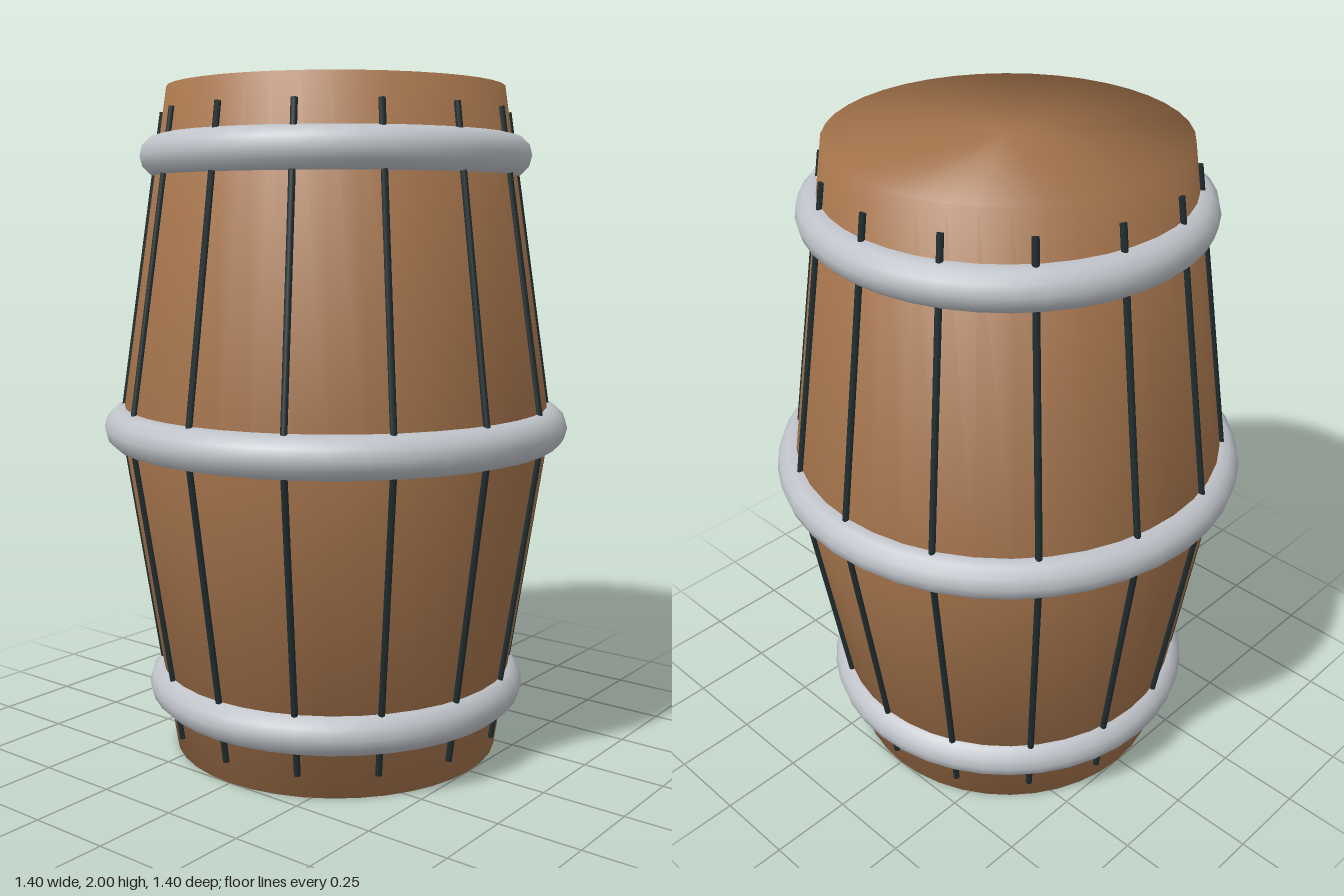
import * as THREE from 'three';

const wood = new THREE.MeshStandardMaterial({ name: 'brown wood', color: 0xa5744c });
const metal = new THREE.MeshStandardMaterial({ name: 'grey metal', color: 0xbfc3c9 });
const dark = new THREE.MeshStandardMaterial({ name: 'dark seam', color: 0x202d30 });

const END_R = 0.5, MID_R = 0.65, HEIGHT = 2;
const radiusAt = (y) => MID_R - (MID_R - END_R) * Math.abs(y - 1);

function addMesh(parent, name, geometry, material) {
  const mesh = new THREE.Mesh(geometry, material);
  mesh.name = name;
  parent.add(mesh);
  return mesh;
}

export function createModel() {
  const barrel = new THREE.Group();
  barrel.name = 'barrel';

  // Closed wooden body, with its shading rolling softly over the rims
  const profile = [[0, 0], [END_R, 0], [MID_R, 1], [END_R, HEIGHT], [0, HEIGHT]]
    .map(([r, y]) => new THREE.Vector2(r, y));
  addMesh(barrel, 'body', new THREE.LatheGeometry(profile, 40), wood);

  // Three metal hoops
  for (const [name, y, r] of [['lowerHoop', 0.2, 0.52], ['middleHoop', 1, 0.64], ['upperHoop', 1.8, 0.52]]) {
    const hoop = addMesh(barrel, name, new THREE.TorusGeometry(r, 0.062, 12, 40), metal);
    hoop.rotation.x = Math.PI / 2;
    hoop.position.y = y;
  }

  // Dark seams between the staves, each a thin rod below and above the middle
  const SEAMS = 14, tilt = Math.atan(MID_R - END_R);
  const rodLength = 0.93 / Math.cos(tilt);
  const rod = new THREE.CylinderGeometry(0.01, 0.01, rodLength, 8);
  for (let i = 0; i < SEAMS; i++) {
    const seam = new THREE.Group();
    seam.name = 'staveSeam';
    seam.rotation.y = (i / SEAMS) * Math.PI * 2;
    for (const side of [-1, 1]) {
      const y = 1 + side * 0.465;
      const half = addMesh(seam, side < 0 ? 'lowerSeam' : 'upperSeam', rod, dark);
      half.position.set(radiusAt(y) + 0.003, y, 0);
      half.rotation.z = side * tilt;
    }
    barrel.add(seam);
  }
  return barrel;
}
